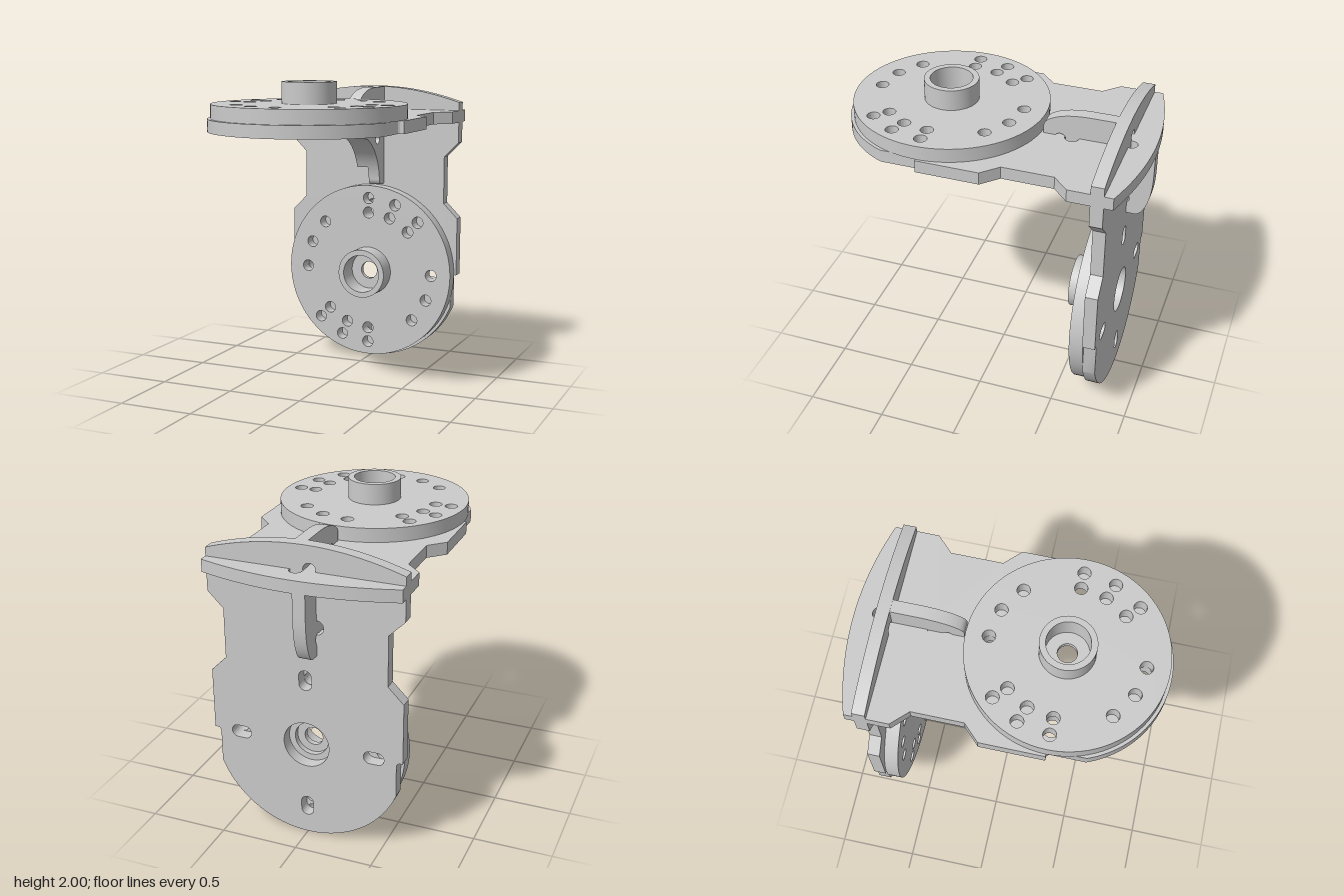
import * as THREE from 'three';
import { toCreasedNormals } from 'three/addons/utils/BufferGeometryUtils.js';

const grey = new THREE.MeshStandardMaterial({ color: 0xcccccc });
const HUB_Y = 0.63; // height of the upright disc's centre

function mesh(name, geometry) {
  const m = new THREE.Mesh(toCreasedNormals(geometry, 0.5), grey);
  m.name = name;
  return m;
}

function extrude(shape, depth) {
  return new THREE.ExtrudeGeometry(shape, { depth, bevelEnabled: false, curveSegments: 32 });
}

function circle(x, y, r) {
  return new THREE.Path().absarc(x, y, r, 0, Math.PI * 2, true);
}

// round-ended slot between two points along a direction
function slot(cx, cy, angle, from, to, r) {
  const c = Math.cos(angle), s = Math.sin(angle);
  const p = new THREE.Path();
  p.absarc(cx + c * to, cy + s * to, r, angle - Math.PI / 2, angle + Math.PI / 2, false);
  p.absarc(cx + c * from, cy + s * from, r, angle + Math.PI / 2, angle + Math.PI * 1.5, false);
  p.closePath();
  return p;
}

// waisted plate with a round end, four radial slots and a hub recess
function makePlate() {
  const s = new THREE.Shape();
  s.absarc(0, HUB_Y, 0.63, Math.PI + 0.38, Math.PI * 2 - 0.38, false);
  s.lineTo(0.585, 0.6);
  s.quadraticCurveTo(0.585, 0.63, 0.61, 0.63);
  const side = [[0.625, 0.63], [0.625, 1.03], [0.525, 1.13], [0.525, 1.455], [0.625, 1.555], [0.625, 1.83]];
  side.forEach(([x, y]) => s.lineTo(x, y));
  s.quadraticCurveTo(0, 2.035, -0.625, 1.83);
  side.slice(0, -1).reverse().forEach(([x, y]) => s.lineTo(-x, y));
  s.lineTo(-0.61, 0.63);
  s.quadraticCurveTo(-0.585, 0.63, -0.585, 0.6);
  s.closePath();

  s.holes.push(circle(0, HUB_Y, 0.15));
  for (let i = 0; i < 4; i++) s.holes.push(slot(0, HUB_Y, i * Math.PI / 2, 0.415, 0.465, 0.041));
  // relief holes around the interlocking rib
  s.holes.push(slot(-0.04, 1.43, 0, -0.04, 0.04, 0.045));
  s.holes.push(circle(-0.04, 1.785, 0.04));
  return mesh('plate', extrude(s, 0.08).translate(0, 0, -0.805));
}

// gusset rib with a hook reaching through the other plate, drawn in (z, y)
function makeRib() {
  const s = new THREE.Shape();
  s.moveTo(-0.8, 1.25);
  s.lineTo(-0.67, 1.25);
  s.quadraticCurveTo(-0.645, 1.25, -0.639, 1.28);
  s.absarc(-0.28, 1.25, 0.36, Math.PI - 0.083, Math.PI - 1.231, true);
  s.lineTo(-0.4, 1.723);
  s.absarc(-0.385, 1.755, 0.035, THREE.MathUtils.degToRad(245), THREE.MathUtils.degToRad(35), true);
  s.lineTo(-0.28, 1.775);
  s.lineTo(-0.28, 1.825);
  s.quadraticCurveTo(-0.28, 1.85, -0.305, 1.87);
  s.quadraticCurveTo(-0.39, 1.93, -0.58, 1.93);
  s.lineTo(-0.8, 1.93);
  s.closePath();
  s.holes.push(circle(-0.6, 1.573, 0.035));
  return mesh('rib', extrude(s, 0.08).rotateY(-Math.PI / 2).translate(0.08, 0, 0));
}

function makeBracket(name) {
  const g = new THREE.Group();
  g.name = name;
  g.add(makePlate(), makeRib());
  return g;
}

// drilled disc and hollow hub, lying on local z = 0 and facing +z
function makeDisc(name) {
  const g = new THREE.Group();
  g.name = name;
  const s = new THREE.Shape().absarc(0, 0, 0.61, 0, Math.PI * 2, false);
  s.holes.push(circle(0, 0, 0.17));
  const drill = (deg, r) => {
    for (const turn of [0, 180]) {
      const a = THREE.MathUtils.degToRad(deg + turn);
      s.holes.push(circle(r * Math.cos(a), r * Math.sin(a), 0.04));
    }
  };
  for (const deg of [90, 67.5, 45]) {
    drill(deg, 0.52);
    drill(deg, 0.417);
    drill(deg - 90, 0.47);
  }
  g.add(mesh('drilledDisc', new THREE.ExtrudeGeometry(s, { depth: 0.09, bevelEnabled: false, curveSegments: 40 })));

  const profile = [
    [0.11, 0], [0.17, 0], [0.17, 0.225], [0.132, 0.225], [0.132, 0.07],
    [0.06, 0.07], [0.06, 0.035], [0.11, 0.035], [0.11, 0],
  ].map(([r, h]) => new THREE.Vector2(r, h));
  g.add(mesh('hub', new THREE.LatheGeometry(profile, 64).rotateX(Math.PI / 2)));
  return g;
}

export function createModel() {
  const model = new THREE.Group();
  model.name = 'hingeBracket';

  // the same bracket twice, the second turned half way about the diagonal fold axis
  const upright = makeBracket('uprightBracket');
  const flat = makeBracket('flatBracket');
  flat.quaternion.setFromAxisAngle(new THREE.Vector3(0, 1, -1).normalize(), Math.PI);
  flat.position.set(0, 0.97, 0.97);

  const frontDisc = makeDisc('uprightDisc');
  frontDisc.position.set(0, HUB_Y, -0.725);

  const topDisc = makeDisc('flatDisc');
  topDisc.rotation.set(-Math.PI / 2, 0, -Math.PI / 2);
  topDisc.position.set(0, 1.775, 0.34);

  model.add(upright, flat, frontDisc, topDisc);
  return model;
}
